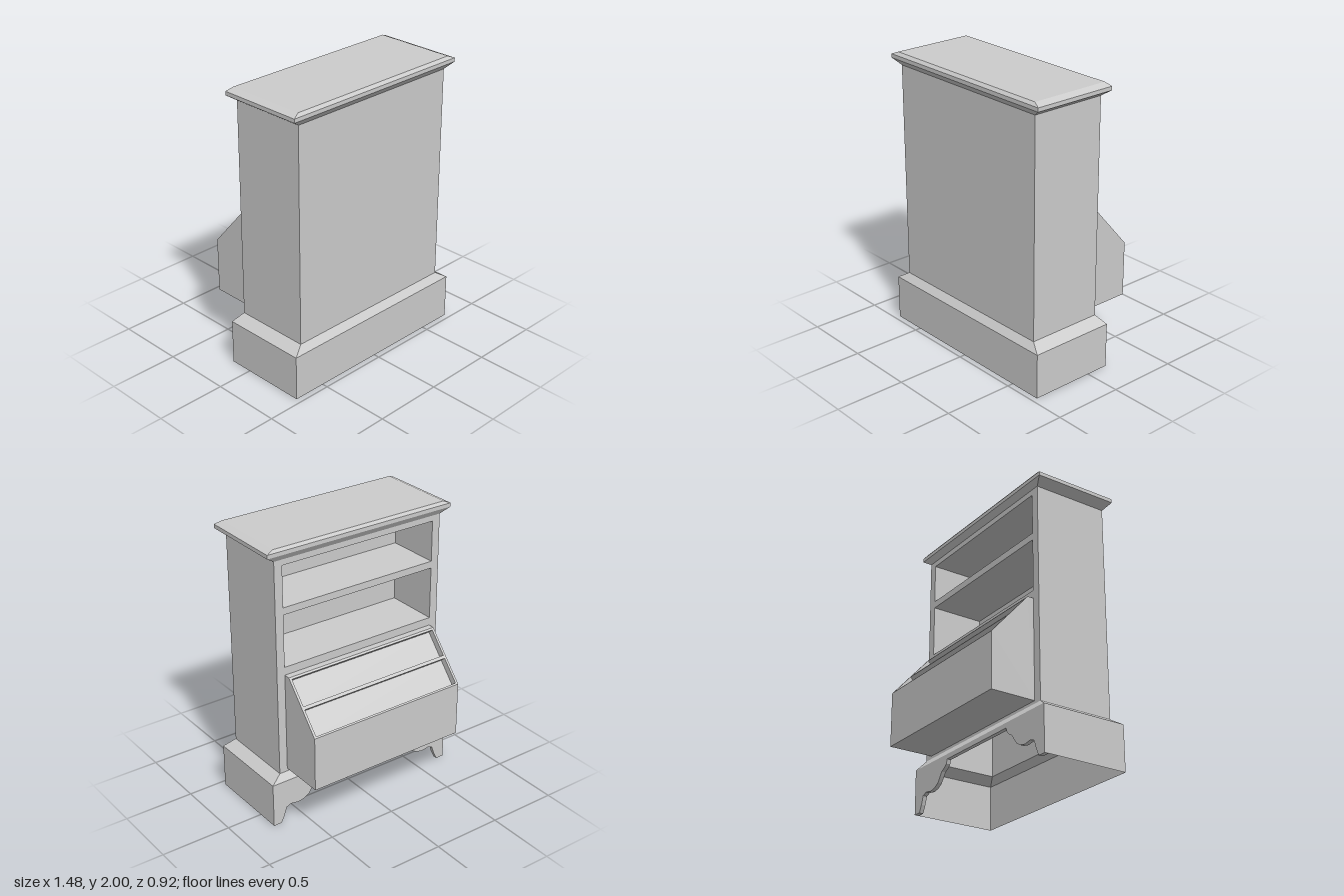
import * as THREE from 'three';

const mat = new THREE.MeshStandardMaterial({ color: 0xcccccc, side: THREE.DoubleSide, flatShading: true });

function add(parent, name, geometry) {
  const mesh = new THREE.Mesh(geometry, mat);
  mesh.name = name;
  parent.add(mesh);
  return mesh;
}

// Skin over four-cornered loops; keep lists the sides to cover, cap closes the last loop.
function skin(loops, keep = [0, 1, 2, 3], cap = false) {
  const pos = [];
  const quad = (a, b, c, d) => pos.push(...a, ...b, ...c, ...a, ...c, ...d);
  for (let k = 0; k + 1 < loops.length; k++) {
    for (const i of keep) {
      const j = (i + 1) % 4;
      quad(loops[k][i], loops[k][j], loops[k + 1][j], loops[k + 1][i]);
    }
  }
  if (cap) quad(...loops[loops.length - 1]);
  const g = new THREE.BufferGeometry();
  g.setAttribute('position', new THREE.Float32BufferAttribute(pos, 3));
  g.computeVertexNormals();
  return g;
}

// Level loop: front, left (+x), back, right (-x) sides in order.
const level = (y, x, back, front) => [[-x, y, front], [x, y, front], [x, y, back], [-x, y, back]];
// Upright loop facing the back.
const upright = (z, x, y0, y1) => [[-x, y0, z], [x, y0, z], [x, y1, z], [-x, y1, z]];

const shapeOf = (pts) => new THREE.Shape(pts.map(([x, y]) => new THREE.Vector2(x, y)));

// Extrude a (z, y) profile across x from x0 to x1.
function across(profile, x0, x1) {
  const g = new THREE.ExtrudeGeometry(shapeOf(profile), { depth: x1 - x0, bevelEnabled: false });
  return g.rotateY(-Math.PI / 2).translate(x1, 0, 0);
}

export function createModel() {
  const root = new THREE.Group();
  root.name = 'bookcase';

  // Hollow plinth: three plain walls, sloped moulding, bracket feet at the back
  const foot = level(0, 0.74, -0.165, 0.46);
  const shoulder = level(0.32, 0.74, -0.165, 0.46);
  const waist = level(0.37, 0.66, -0.13, 0.42);
  add(root, 'plinthWalls', skin([foot, shoulder], [0, 1, 3]));
  add(root, 'plinthMoulding', skin([shoulder, waist]));

  const bracket = [[0.06, 0], [0.085, 0.05], [0.105, 0.11], [0.14, 0.125], [0.2, 0.115], [0.25, 0.125],
    [0.29, 0.15], [0.315, 0.185], [0.335, 0.215], [0.37, 0.235], [0.39, 0.255], [0.4, 0.285]];
  const half = bracket.map(([d, y]) => [0.74 - d, y]);
  const apron = [[0.74, 0.32], [-0.74, 0.32], [-0.74, 0],
    ...half.map(([x, y]) => [-x, y]), ...half.slice().reverse(), [0.74, 0]];
  add(root, 'bracketFeet', new THREE.ExtrudeGeometry(shapeOf(apron), { depth: 0.03, bevelEnabled: false }))
    .position.z = -0.165;

  // Carcass walls
  const neck = level(1.91, 0.66, -0.13, 0.42);
  add(root, 'carcassWalls', skin([waist, neck], [0, 1, 3]));

  // Back frame with two openings, each lined by a compartment
  const openings = [[1.157, 1.53], [1.58, 1.87]];
  const frame = shapeOf([[-0.66, 0.37], [0.66, 0.37], [0.66, 1.91], [-0.66, 1.91]]);
  for (const [y0, y1] of openings) {
    frame.holes.push(shapeOf([[-0.6, y0], [-0.6, y1], [0.6, y1], [0.6, y0]]));
    const loops = [upright(-0.13, 0.6, y0, y1), upright(0.26, 0.6, y0, y1)];
    for (const loop of loops) loop.reverse();
    add(root, 'shelfCompartment', skin(loops, [0, 1, 2, 3], true));
  }
  add(root, 'shelfFrame', new THREE.ShapeGeometry(frame).rotateY(Math.PI).translate(0, 0, -0.13));

  // Cornice
  add(root, 'cornice', skin([
    neck,
    level(1.953, 0.725, -0.16, 0.455),
    level(1.98, 0.725, -0.16, 0.455),
    level(2, 0.675, -0.145, 0.435),
  ], [0, 1, 2, 3], true));

  // Slant-topped bin with two recesses sunk at right angles to the slope
  const slope = (z) => 1.1 + (z + 0.175) * (0.32 / 0.28);
  const outline = [[-0.13, 0.39], [-0.13, 1.1], [-0.175, 1.1]];
  const ending = [[-0.455, 0.78], [-0.455, 0.39]];
  const recess = (z0, z1) => [[z0, slope(z0)], [z0 + 0.035, slope(z0) - 0.031],
    [z1 + 0.035, slope(z1) - 0.031], [z1, slope(z1)]];
  const bin = new THREE.Group();
  bin.name = 'slantBin';
  root.add(bin);
  add(bin, 'binCore', across([...outline, ...recess(-0.185, -0.31), ...recess(-0.325, -0.447), ...ending], -0.583, 0.583));
  for (const x0 of [-0.6, 0.583]) add(bin, 'binCheek', across([...outline, ...ending], x0, x0 + 0.017));

  return root;
}
